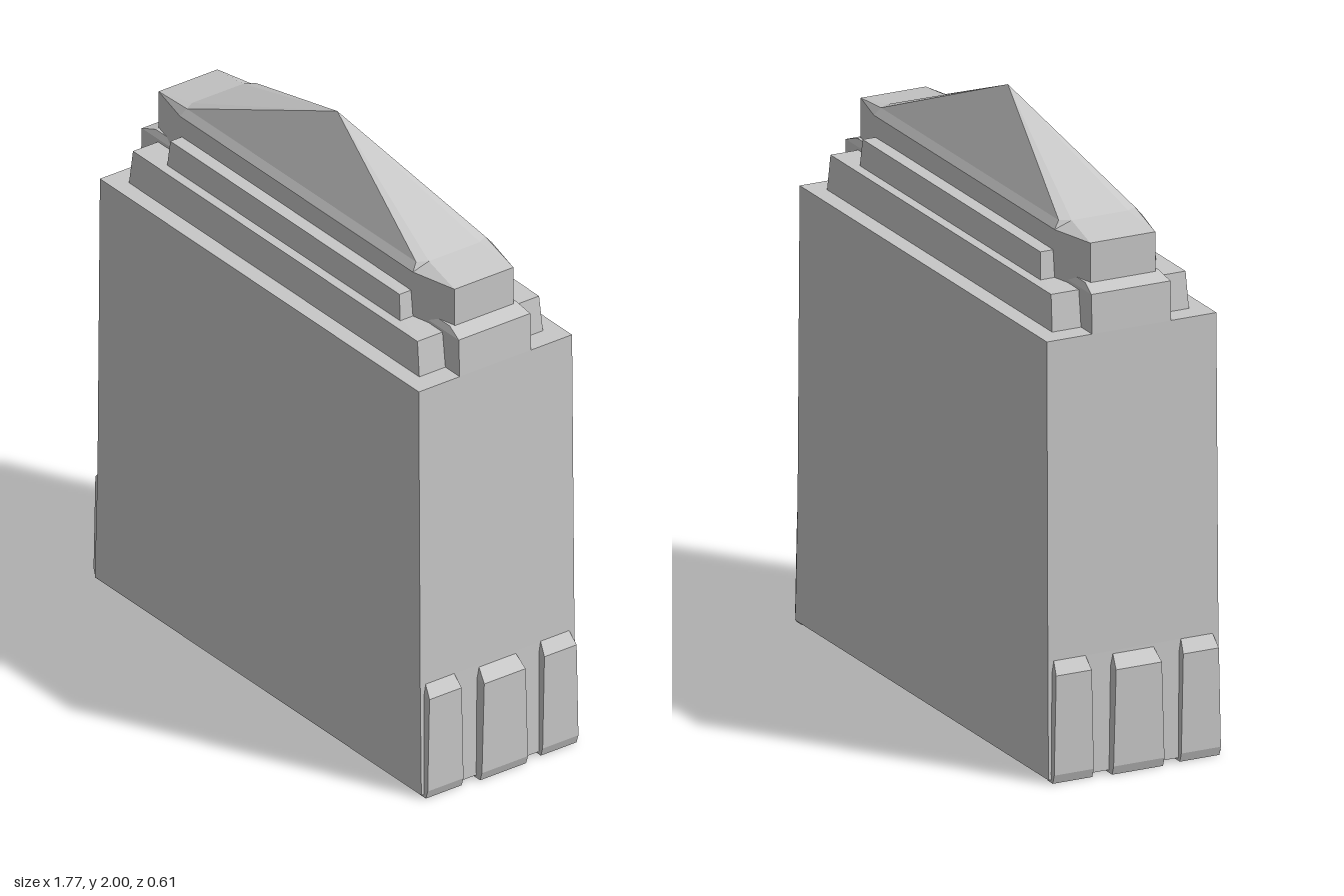
import * as THREE from 'three';

// Full plan outline from the points of one quarter (+x side round to +z side)
function mirrorPlan(quarter) {
  const back = [...quarter].reverse();
  return [
    ...quarter,
    ...back.map(([x, z]) => [-x, z]),
    ...quarter.map(([x, z]) => [-x, -z]),
    ...back.map(([x, z]) => [x, -z]),
  ];
}

// Joins outlines at given heights, closed on top by a fan to the cap point
function loft(levels, cap) {
  const pos = [];
  const rings = levels.map(([y, plan]) => plan.map(([x, z]) => [x, y, z]));
  const n = rings[0].length;
  for (let r = 0; r < rings.length - 1; r++) {
    for (let i = 0; i < n; i++) {
      const j = (i + 1) % n;
      const [a, b, c, d] = [rings[r][i], rings[r][j], rings[r + 1][i], rings[r + 1][j]];
      pos.push(...a, ...c, ...b, ...b, ...c, ...d);
    }
  }
  const top = rings[rings.length - 1];
  for (let i = 0; i < n; i++) pos.push(...cap, ...top[(i + 1) % n], ...top[i]);
  const geo = new THREE.BufferGeometry();
  geo.setAttribute('position', new THREE.Float32BufferAttribute(pos, 3));
  geo.computeVertexNormals();
  return geo;
}

export function createModel() {
  const model = new THREE.Group();
  const stone = new THREE.MeshStandardMaterial({ color: 0xc8c8c8, side: THREE.DoubleSide });
  stone.name = 'paleStone';

  const add = (name, levels, cap) => {
    const mesh = new THREE.Mesh(loft(levels, cap), stone);
    mesh.name = name;
    model.add(mesh);
  };
  const rect = (x, z) => mirrorPlan([[x, z]]);

  // Hollow main block, open underneath
  add('mainBlock', [
    [0.01, rect(0.855, 0.305)],
    [0.4, rect(0.845, 0.302)],
    [1.46, rect(0.835, 0.3)],
  ], [0, 1.46, 0]);

  // Central bays at both ends, rising above the main block
  add('endBays', [
    [1.46, rect(0.835, 0.14)],
    [1.59, rect(0.83, 0.14)],
    [1.61, rect(0.77, 0.13)],
  ], [0, 1.61, 0]);

  // Stepped ledges below the roof
  add('lowerLedge', [
    [1.46, rect(0.76, 0.242)],
    [1.58, rect(0.745, 0.238)],
  ], [0, 1.585, 0]);
  add('upperLedge', [
    [1.58, rect(0.61, 0.205)],
    [1.67, rect(0.6, 0.2)],
  ], [0, 1.675, 0]);

  // Attic with shouldered ends and a long pointed roof
  const attic = mirrorPlan([[0.775, 0.115], [0.61, 0.155]]);
  add('atticAndRoof', [
    [1.58, attic],
    [1.74, attic],
    [1.765, mirrorPlan([[0.62, 0.1], [0.6, 0.135]])],
  ], [0.02, 2, 0.01]);

  // Buttresses with sloping tops along the foot of each end
  const buttresses = [[-0.225, 0.07, 0.875, 0.36], [0, 0.09, 0.885, 0.35], [0.225, 0.07, 0.875, 0.36]];
  for (const side of [-1, 1]) {
    for (const [z, half, out, height] of buttresses) {
      const plan = (x, h) => {
        const points = [[x, z - h], [x, z + h], [0.83, z + h], [0.83, z - h]];
        return side > 0 ? points : points.map(([px, pz]) => [-px, pz]).reverse();
      };
      add(side > 0 ? 'leftButtress' : 'rightButtress', [
        [0, plan(out - 0.01, half)],
        [0.03, plan(out, half)],
        [height, plan(out, half * 0.9)],
        [height + 0.04, plan(0.845, half * 0.8)],
      ], [side * 0.835, height + 0.04, z]);
    }
  }
  return model;
}
